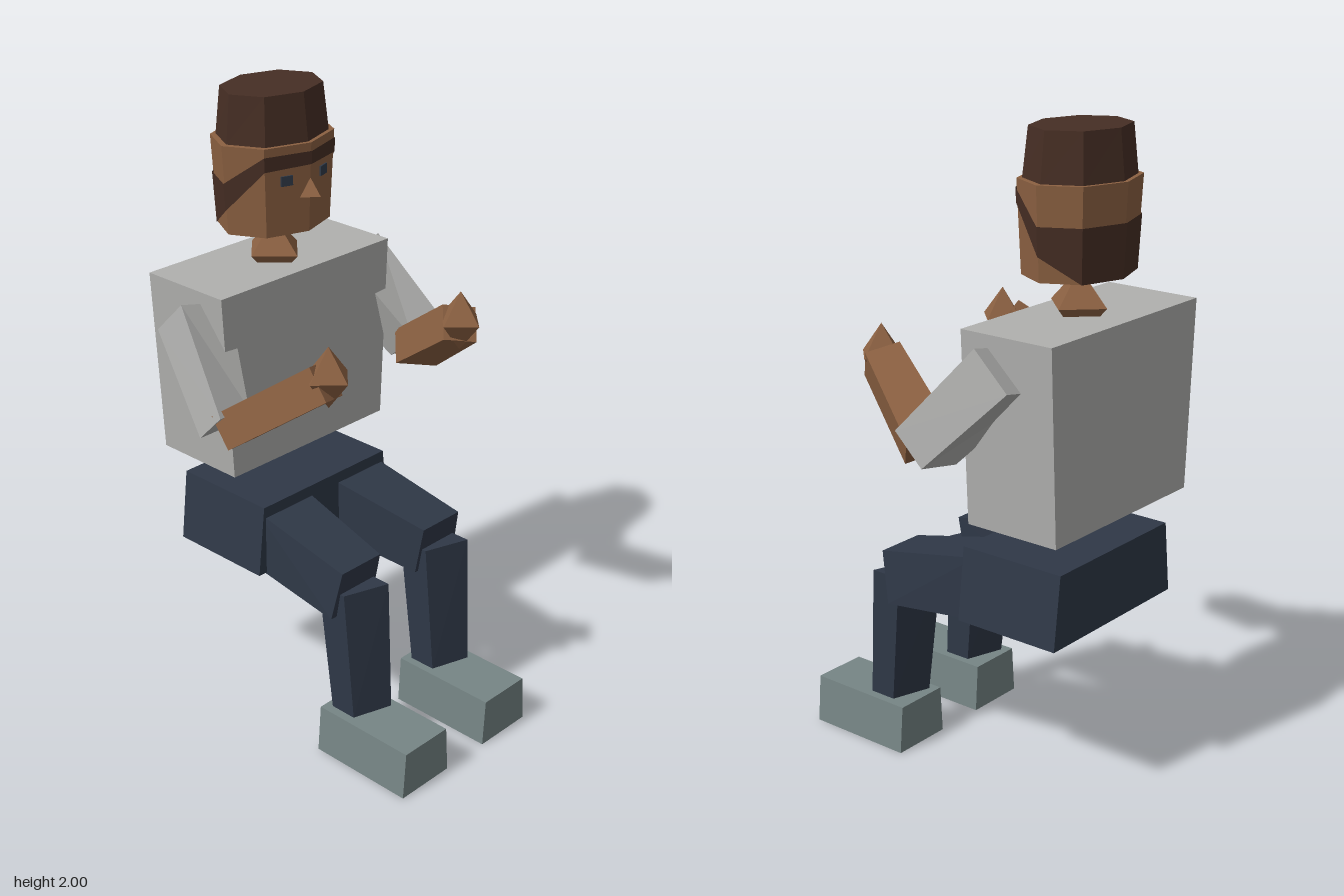
import * as THREE from 'three';

const mat = (name, color, side = THREE.FrontSide) => {
  const m = new THREE.MeshStandardMaterial({ color, flatShading: true, side });
  m.name = name;
  return m;
};

// Flat-faced solid through matching rings of [x, y, z] points, capped at both ends
function loft(rings, capped = true) {
  const tris = [];
  const n = rings[0].length;
  for (let r = 0; r < rings.length - 1; r++) {
    for (let i = 0; i < n; i++) {
      const j = (i + 1) % n, a = rings[r], b = rings[r + 1];
      tris.push([a[i], a[j], b[j]], [a[i], b[j], b[i]]);
    }
  }
  if (capped) {
    const last = rings[rings.length - 1];
    for (let i = 1; i < n - 1; i++) {
      tris.push([rings[0][0], rings[0][i + 1], rings[0][i]], [last[0], last[i], last[i + 1]]);
    }
  }
  // Turn every face outwards, whichever way the rings run
  const mid = new THREE.Vector3();
  rings.flat().forEach(p => mid.add(new THREE.Vector3(...p)));
  mid.divideScalar(rings.length * n);
  let volume = 0;
  for (const t of tris) {
    const [a, b, c] = t.map(p => new THREE.Vector3(...p).sub(mid));
    volume += a.dot(b.cross(c));
  }
  if (volume < 0) tris.forEach(t => t.reverse());
  const g = new THREE.BufferGeometry();
  g.setAttribute('position', new THREE.Float32BufferAttribute(tris.flat(2), 3));
  g.computeVertexNormals();
  return g;
}

// Level rectangle, and level eight-sided oval around the head axis
const rect = (y, x0, x1, z0, z1) => [[x0, y, z1], [x1, y, z1], [x1, y, z0], [x0, y, z0]];
const HEAD_Z = -0.322;
const oval = (y, rx, rz) => Array.from({ length: 8 }, (_, i) => {
  const a = i * Math.PI / 4, yy = typeof y === 'function' ? y(i) : y;
  return [rx * Math.sin(a), yy, HEAD_Z + rz * Math.cos(a)];
});
const flip = (ring, s) => ring.map(([x, y, z]) => [s * x, y, z]);

export function createModel() {
  const skin = mat('skin', 0x8c6142);
  const hair = mat('hair', 0x462e24);
  const hairShell = hair.clone();
  hairShell.side = THREE.DoubleSide;
  const shirt = mat('shirt', 0xb0b0ae);
  const trousers = mat('trousers', 0x2f3847);
  const shoes = mat('shoes', 0x768585);
  const eyes = mat('eyes', 0x303a48);

  const model = new THREE.Group();
  model.name = 'seatedFigure';
  const body = new THREE.Group();
  body.name = 'body';
  body.position.x = 0.005;
  model.add(body);
  const add = (name, geometry, material) => {
    const m = new THREE.Mesh(geometry, material);
    m.name = name;
    body.add(m);
    return m;
  };

  // Torso and pelvis
  add('torso', loft([rect(0.87, -0.325, 0.325, -0.495, -0.178), rect(1.46, -0.355, 0.355, -0.495, -0.178)]), shirt);
  add('pelvis', loft([rect(0.535, -0.295, 0.295, -0.47, -0.112), rect(0.765, -0.268, 0.268, -0.47, -0.112)]), trousers);

  // Neck
  const neck = add('neck', new THREE.OctahedronGeometry(1), skin);
  neck.scale.set(0.097, 0.105, 0.1);
  neck.position.set(0, 1.485, -0.323);

  // Head and crown of hair
  add('head', loft([oval(1.58, 0.188, 0.15), oval(1.855, 0.205, 0.163)]), skin);
  add('hairCrown', loft([oval(1.855, 0.185, 0.15), oval(2, 0.17, 0.134)]), hair);

  // Fringe sweeping down the sides to the nape, a thin shell over the head
  const low = [1.79, 1.785, 1.655, 1.58, 1.58];
  const high = [1.83, 1.83, 1.74, 1.74, 1.74];
  const shell = levels => {
    const at = i => levels[Math.min(i, 8 - i)];
    return oval(at, 1, 1).map(([x, y, z]) => {
      const t = (y - 1.58) / 0.275;
      return [x * (0.192 + 0.017 * t), y, HEAD_Z + (z - HEAD_Z) * (0.154 + 0.013 * t)];
    });
  };
  add('hairBand', loft([shell(low), shell(high)], false), hairShell);

  // Nose
  const tip = [0, 1.698, -0.122];
  add('nose', loft([[[-0.032, 1.69, -0.178], [0.032, 1.69, -0.178], [0, 1.75, -0.166]], [tip, tip, tip]]), skin);

  for (const s of [-1, 1]) {
    const side = s > 0 ? 'left' : 'right';

    // Eye
    const eye = add(side + 'Eye', new THREE.BoxGeometry(0.038, 0.03, 0.008), eyes);
    eye.position.set(s * 0.075, 1.75, -0.187);
    eye.rotation.y = s * 0.32;

    // Upper arm from shoulder to elbow
    add(side + 'UpperArm', loft([
      [[0.42, 1.435, -0.28], [0.25, 1.4, -0.262], [0.25, 1.29, -0.375], [0.418, 1.325, -0.393]],
      [[0.49, 1.17, -0.048], [0.358, 1.15, -0.07], [0.363, 1.06, -0.165], [0.487, 1.075, -0.143]],
    ].map(r => flip(r, s))), shirt);

    // Forearm, a tapering box along the line from elbow to hand
    const elbow = new THREE.Vector3(s > 0 ? 0.385 : -0.42, 1.105, -0.08);
    const wrist = new THREE.Vector3(s * 0.29, 1.295, 0.18);
    const dir = wrist.clone().sub(elbow).normalize();
    const across = new THREE.Vector3(dir.z, 0, -dir.x).normalize().applyAxisAngle(dir, -0.25);
    const up = dir.clone().cross(across);
    const section = (c, w, h) => [[-1, -1], [1, -1], [1, 1], [-1, 1]].map(([i, j]) =>
      c.clone().addScaledVector(across, i * w).addScaledVector(up, j * h).toArray());
    add(side + 'Forearm', loft([section(elbow, 0.07, 0.055), section(wrist, 0.055, 0.055)]), skin);

    // Hand
    const hand = add(side + 'Hand', new THREE.OctahedronGeometry(1), skin);
    hand.scale.set(0.076, 0.095, 0.076);
    hand.position.set(s * 0.285, 1.307, 0.185);

    // Thigh
    add(side + 'Thigh', loft([
      [[0.26, 0.535, -0.17], [0.055, 0.535, -0.17], [0.055, 0.735, -0.15], [0.26, 0.735, -0.15]],
      [[0.28, 0.5, 0.185], [0.1, 0.5, 0.185], [0.1, 0.665, 0.218], [0.265, 0.665, 0.218]],
    ].map(r => flip(r, s))), trousers);

    // Shin, both turned the same way
    const c = s * 0.185;
    const shinRing = (y, w, front, depth, skew) => [
      [c - w, y, front - skew], [c + w, y, front], [c + w, y, front - depth], [c - w, y, front - skew - depth]];
    add(side + 'Shin', loft([shinRing(0.15, 0.064, 0.29, 0.09, 0.04), shinRing(0.585, 0.073, 0.265, 0.105, 0.048)]), trousers);

    // Shoe
    add(side + 'Shoe', loft([rect(0, 0.085, 0.29, 0.135, 0.495), rect(0.155, 0.095, 0.278, 0.135, 0.495)]
      .map(r => flip(r, s))), shoes);
  }
  return model;
}
